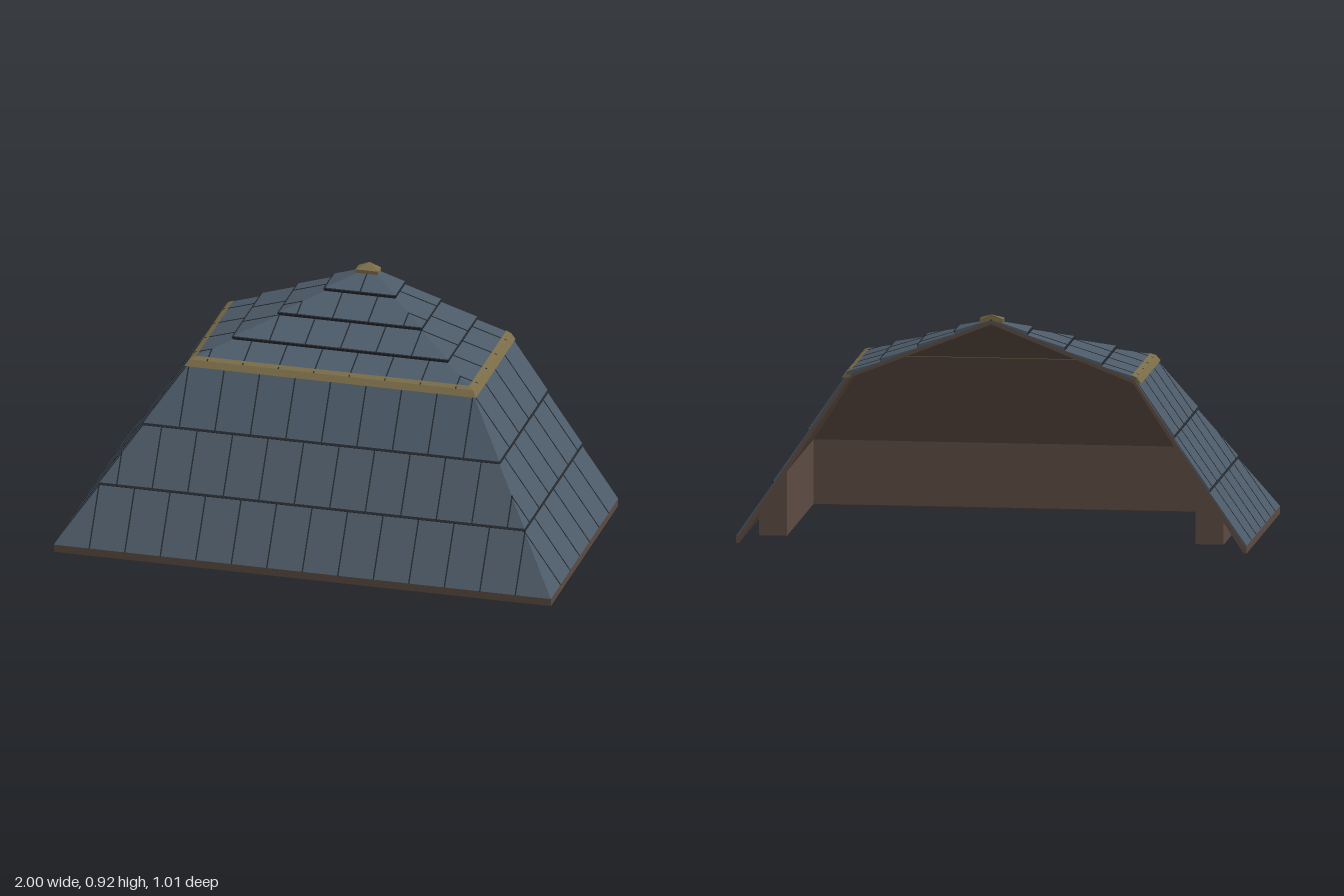
import * as THREE from 'three';
import { mergeGeometries } from 'three/addons/utils/BufferGeometryUtils.js';

const mat = (color) => new THREE.MeshStandardMaterial({ color, flatShading: true });
const slate = mat(0x4c5a68), dark = mat(0x24282d), wood = mat(0x5c4c42), brass = mat(0x7a6c48);

const BACK = -0.5, TILE = 1 / 7;

// Plan outline at inset d: left back, left front, right front, right back
const ring = ([d, y]) => {
  const x = 1 - d, z = 0.5 - d;
  return [[-x, y, BACK], [-x, y, z], [x, y, z], [x, y, BACK]];
};

// Sweeps a closed profile of [inset, height] points (outer side upwards first) around three sides
function sweep(profile) {
  const pos = [];
  const rings = profile.map(ring);
  profile.forEach((_, i) => {
    const a = rings[i], b = rings[(i + 1) % rings.length];
    for (let k = 0; k < 3; k++) {
      pos.push(...a[k], ...a[k + 1], ...b[k + 1], ...a[k], ...b[k + 1], ...b[k]);
    }
  });
  // end caps on the cut plane
  const pts = profile.map(([d, y]) => new THREE.Vector2(d, y));
  for (const tri of THREE.ShapeUtils.triangulateShape(pts, [])) {
    const [p, q, r] = tri.map((i) => pts[i]);
    const ccw = (q.x - p.x) * (r.y - p.y) - (q.y - p.y) * (r.x - p.x) > 0;
    const t = ccw ? tri : [...tri].reverse();
    t.forEach((i) => pos.push(...rings[i][3]));
    [...t].reverse().forEach((i) => pos.push(...rings[i][0]));
  }
  const g = new THREE.BufferGeometry();
  g.setAttribute('position', new THREE.Float32BufferAttribute(pos, 3));
  g.computeVertexNormals();
  return g;
}

// The two roof pitches as straight lines in [inset, height], split into courses
const pitches = [
  { a: [0, 0.03], b: [0.43, 0.68], cuts: [0, 0.142, 0.281, 0.43], t: 0.006 },
  { a: [0.43, 0.683], b: [1, 0.911], cuts: [0.43, 0.565, 0.71, 0.855, 1], t: 0.012 },
];

export function createModel() {
  const model = new THREE.Group();
  const add = (name, geometry, material) => {
    const m = new THREE.Mesh(geometry, material);
    m.name = name;
    model.add(m);
  };

  // Timber shell with eave board, and the wall plate under it
  add('roofShell', sweep([
    [0, 0], [0, 0.03], [0.012, 0.034], [0.44, 0.672], [1, 0.897],
    [1, 0.88], [0.445, 0.66], [0.012, 0],
  ]), wood);
  add('wallPlate', sweep([[0.09, 0.033], [0.09, 0.13], [0.2, 0.295], [0.2, 0.033]]), wood);

  // Slate courses, their shadow edges and the tile joints
  const joints = [];
  let row = 0;
  pitches.forEach(({ a, b, cuts, t }, p) => {
    const dd = b[0] - a[0], dy = b[1] - a[1], len = Math.hypot(dd, dy);
    // point on the pitch at inset d, sunk below the surface by s
    const at = (d, s = 0) => [d + (dy / len) * s, a[1] + ((d - a[0]) / dd) * dy - (dd / len) * s];
    for (let i = 0; i + 1 < cuts.length; i++, row++) {
      const d0 = cuts[i], d1 = cuts[i + 1];
      const top = d1 === 1 ? [[1, at(1, t)[1]], [1, at(1, t + 0.004)[1]]] : [at(d1, t), at(d1, t + 0.004)];
      add('slateCourse', sweep([at(d0), ...top, at(d0, t + 0.004)]), slate);
      if (i > 0) {
        const e = d0 + 0.003;
        add('courseEdge', sweep([at(d0 - 0.002, t), at(d0 - 0.002, -0.001), at(e, -0.001), at(e, t)]), dark);
      }
      // joints on the front (0) and both sides (-1, 1)
      for (const side of [-1, 0, 1]) {
        const half = side ? 0.5 : 1, reach = side ? 1 : 0.5;
        for (let k = 0; k < 14; k++) {
          const u = half - (k + (row % 2) / 2) * TILE;
          if (u <= -half + 0.01) break;
          const end = Math.min(d1, half - (side ? u : Math.abs(u)));
          if (end - d0 < 0.02) continue;
          const mid = (d0 + end) / 2;
          const [md, my] = at(mid, (t * (mid - d0)) / (d1 - d0));
          const g = new THREE.BoxGeometry(0.005, ((end - d0) * len) / dd, 0.003);
          g.rotateX(-Math.atan2(dd, dy) - (p ? 0.08 : 0.024));
          g.translate(side ? -side * u : u, my, reach - md);
          g.rotateY((side * Math.PI) / 2);
          joints.push(g);
        }
      }
    }
  });
  add('tileJoints', mergeGeometries(joints), dark);

  // Moulding at the change of pitch, and the cap on the peak
  add('pitchMoulding', sweep([[0.413, 0.66], [0.43, 0.683], [0.45, 0.692], [0.45, 0.66]]), brass);
  add('peakCap', sweep([[0.955, 0.888], [0.955, 0.902], [1, 0.92], [1, 0.888]]), brass);

  return model;
}
